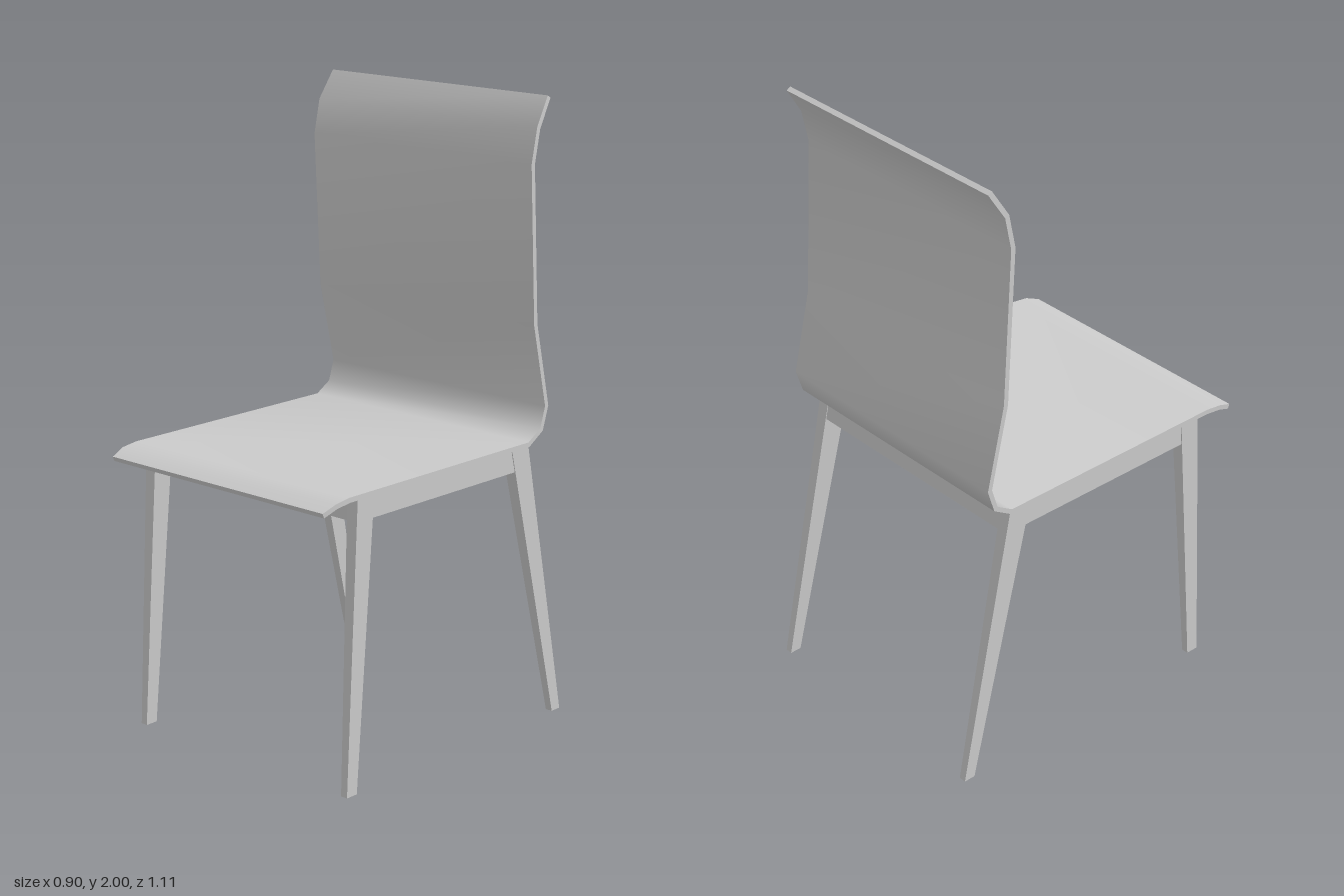
import * as THREE from 'three';
import { toCreasedNormals } from 'three/addons/utils/BufferGeometryUtils.js';

const material = new THREE.MeshStandardMaterial({ color: 0xcccccc });

function add(parent, name, geometry) {
  const mesh = new THREE.Mesh(geometry, material);
  mesh.name = name;
  parent.add(mesh);
}

// Straight bar between two level rectangles, each { y, x: [min, max], z: [min, max] }
function taperedBar(bottom, top) {
  const geometry = new THREE.BoxGeometry(1, 1, 1);
  const p = geometry.attributes.position;
  for (let i = 0; i < p.count; i++) {
    const end = p.getY(i) < 0 ? bottom : top;
    p.setXYZ(i, end.x[p.getX(i) < 0 ? 0 : 1], end.y, end.z[p.getZ(i) < 0 ? 0 : 1]);
  }
  geometry.computeVertexNormals();
  return geometry;
}

// Bent sheet: a side profile of [z, y, halfWidth] given a constant thickness
function bentSheet(profile, thickness) {
  const positions = [];
  const index = [];
  profile.forEach(([z, y, w], i) => {
    const here = new THREE.Vector2(z, y);
    const before = new THREE.Vector2(...(profile[i - 1] ?? profile[i]));
    const after = new THREE.Vector2(...(profile[i + 1] ?? profile[i]));
    const a = here.clone().sub(before).normalize();
    const b = after.sub(here).normalize();
    const t = a.add(b).normalize();
    // The sitting side lies to the right of the direction of travel
    const nz = t.y * thickness / 2;
    const ny = -t.x * thickness / 2;
    positions.push(-w, y + ny, z + nz, w, y + ny, z + nz, w, y - ny, z - nz, -w, y - ny, z - nz);
  });
  const quad = (a, b, c, d) => index.push(a, b, c, a, c, d);
  for (let i = 0; i < profile.length - 1; i++) {
    for (let k = 0; k < 4; k++) {
      const n = (k + 1) % 4;
      quad(i * 4 + k, i * 4 + n, i * 4 + 4 + n, i * 4 + 4 + k);
    }
  }
  const e = (profile.length - 1) * 4;
  quad(3, 2, 1, 0);
  quad(e, e + 1, e + 2, e + 3);
  const geometry = new THREE.BufferGeometry();
  geometry.setAttribute('position', new THREE.Float32BufferAttribute(positions, 3));
  geometry.setIndex(index);
  return toCreasedNormals(geometry, 0.8);
}

export function createModel() {
  const chair = new THREE.Group();
  chair.name = 'chair';

  // One-piece seat and back, slightly narrowed at both free ends
  add(chair, 'seatAndBack', bentSheet([
    [0.553, 0.897, 0.443], [0.505, 0.916, 0.45], [0.45, 0.923, 0.45],
    [-0.37, 0.923, 0.45], [-0.431, 0.96, 0.45], [-0.454, 1.032, 0.45],
    [-0.392, 1.3, 0.45], [-0.365, 1.8, 0.45], [-0.388, 1.908, 0.45],
    [-0.444, 1.996, 0.443],
  ], 0.016));

  // Splayed tapered legs
  const topY = 0.917;
  const railY = 0.845;
  for (const [side, s] of [['Left', 1], ['Right', -1]]) {
    const span = (inner, outer) => (s > 0 ? [inner, outer] : [-outer, -inner]);
    add(chair, 'frontLeg' + side, taperedBar(
      { y: 0, x: span(0.422, 0.446), z: [0.413, 0.456] },
      { y: topY, x: span(0.405, 0.446), z: [0.34, 0.411] }));
    add(chair, 'backLeg' + side, taperedBar(
      { y: 0, x: span(0.422, 0.446), z: [-0.557, -0.518] },
      { y: topY, x: span(0.405, 0.446), z: [-0.372, -0.293] }));

    // Side rail
    add(chair, 'sideRail' + side, taperedBar(
      { y: railY, x: span(0.4, 0.443), z: [-0.325, 0.36] },
      { y: topY, x: span(0.4, 0.443), z: [-0.31, 0.355] }));
  }

  // Front and back rails, leaning with the legs
  add(chair, 'frontRail', taperedBar(
    { y: railY, x: [-0.415, 0.415], z: [0.365, 0.411] },
    { y: topY, x: [-0.415, 0.415], z: [0.36, 0.408] }));
  add(chair, 'backRail', taperedBar(
    { y: railY, x: [-0.415, 0.415], z: [-0.384, -0.335] },
    { y: topY, x: [-0.415, 0.415], z: [-0.369, -0.32] }));

  return chair;
}
